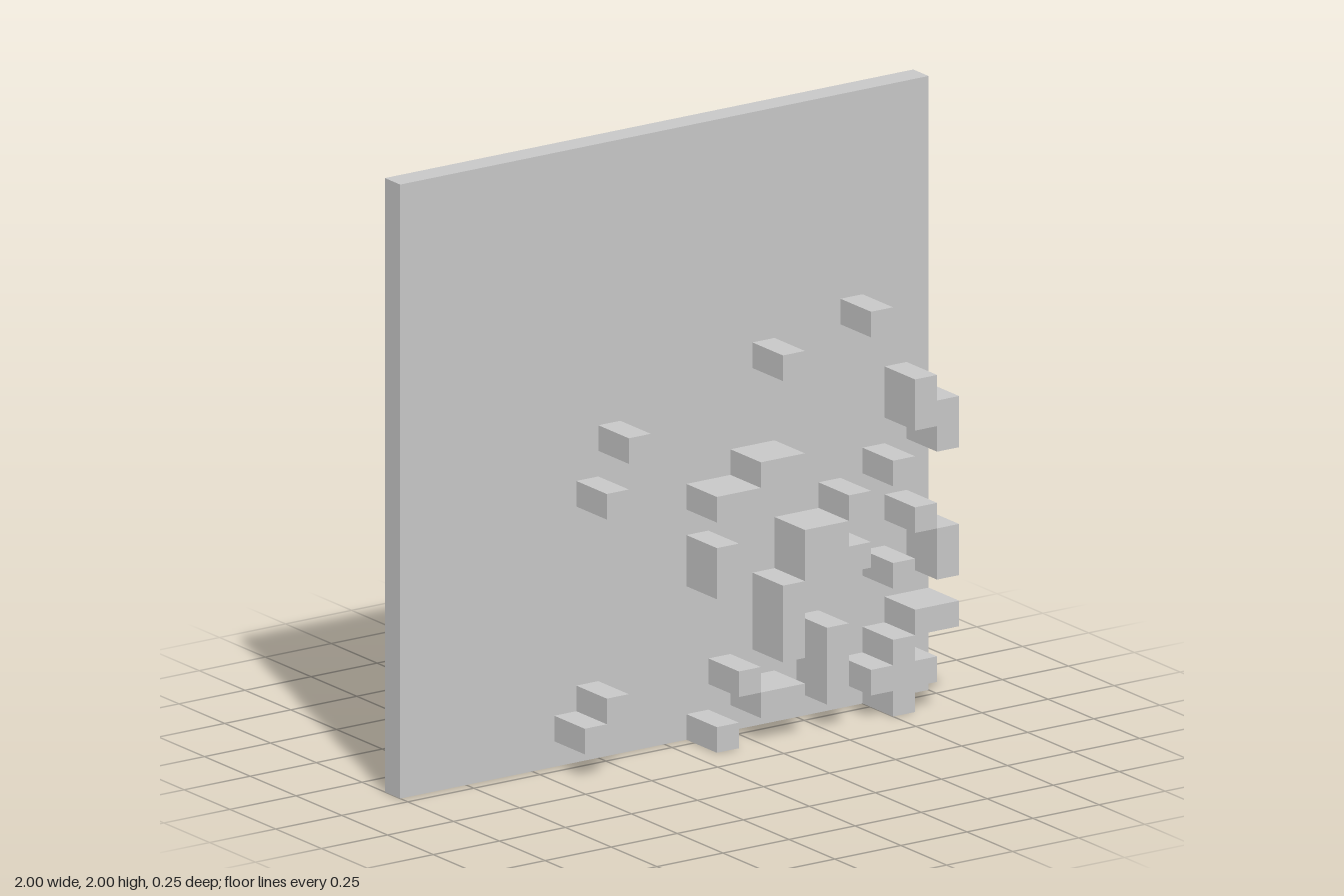
import * as THREE from 'three';

export function createModel() {
  const group = new THREE.Group();
  const grey = new THREE.MeshStandardMaterial({ color: 0xc8c8c8 });
  grey.name = 'lightGrey';

  const U = 1 / 12; // one cell of the 24 x 24 panel
  const back = -1.5 * U, face = -0.5 * U, front = 1.5 * U;

  // Box given in cells, spanning z0 to z1
  function addBox(name, col, row, w, h, z0, z1) {
    const mesh = new THREE.Mesh(new THREE.BoxGeometry(w * U, h * U, z1 - z0), grey);
    mesh.position.set(-1 + (col + w / 2) * U, (row + h / 2) * U, (z0 + z1) / 2);
    mesh.name = name;
    group.add(mesh);
  }

  addBox('panel', 0, 0, 24, 24, back, face);

  // Raised blocks: column, row, width, height
  const blocks = [
    [20, 15, 1, 1], [16, 14, 1, 1], [9, 12, 1, 1], [8, 10, 1, 1],
    [15, 10, 2, 1], [13, 9, 2, 1], [13, 6, 1, 2], [19, 8, 1, 1],
    [21, 9, 1, 1], [22, 11, 1, 2], [23, 10, 1, 2], [22, 7, 1, 1],
    [23, 5, 1, 2], [21, 5, 1, 1], [17, 6, 2, 2], [19, 6, 1, 1],
    [16, 3, 1, 3], [18, 1, 1, 3], [14, 2, 1, 1], [15, 1, 2, 1],
    [8, 2, 1, 1], [7, 1, 1, 1], [13, 0, 1, 1], [22, 3, 2, 1],
    [21, 0, 1, 3], [20, 1, 1, 1], [22, 1, 1, 1],
  ];
  blocks.forEach(([c, r, w, h], i) => addBox('block' + (i + 1), c, r, w, h, face, front));

  return group;
}
